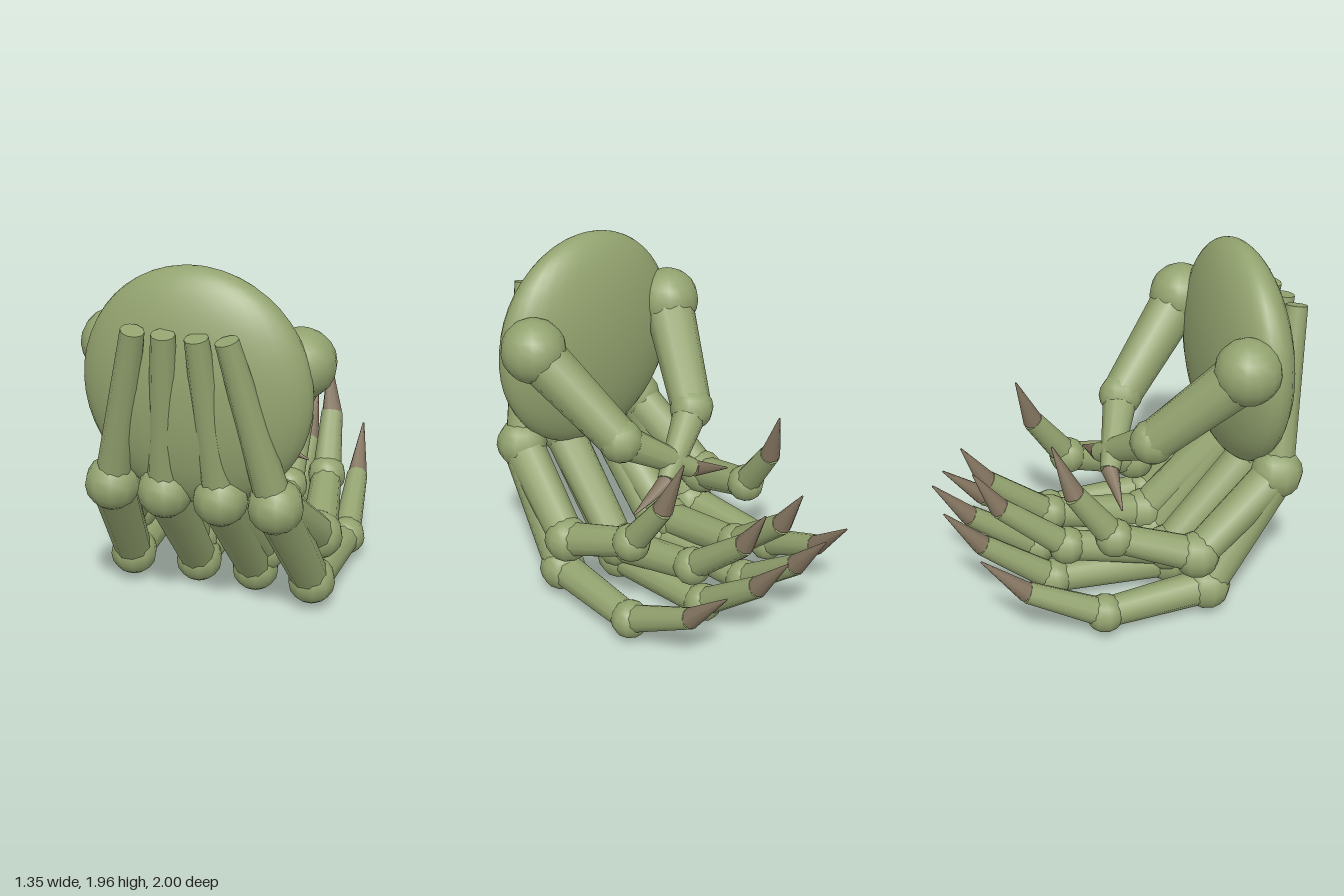
import * as THREE from 'three';

const skin = new THREE.MeshStandardMaterial({ color: 0x93a36f });
const horn = new THREE.MeshStandardMaterial({ color: 0x83745f });
const UP = new THREE.Vector3(0, 1, 0);

export function createModel() {
  const root = new THREE.Group();
  root.name = 'monsterHand';

  // Tapered limb running from point a to point b
  function limb(parent, name, a, b, ra, rb, material = skin, sides = 10) {
    const A = new THREE.Vector3(...a), B = new THREE.Vector3(...b);
    const dir = B.clone().sub(A);
    const m = new THREE.Mesh(new THREE.CylinderGeometry(rb, ra, dir.length(), sides), material);
    m.position.copy(A).add(B).multiplyScalar(0.5);
    m.quaternion.setFromUnitVectors(UP, dir.normalize());
    m.name = name;
    parent.add(m);
  }

  // Coarse ball joint with smooth normals
  function ball(parent, name, p, r, w = 10, h = 8) {
    const m = new THREE.Mesh(new THREE.SphereGeometry(r, w, h), skin);
    m.position.set(...p);
    m.name = name;
    parent.add(m);
  }

  // Flattened oval palm
  const palm = new THREE.Mesh(new THREE.SphereGeometry(1, 32, 24), skin);
  palm.scale.set(0.605, 0.627, 0.22);
  palm.position.set(0, 1.328, 0.71);
  palm.name = 'palm';
  root.add(palm);

  // Each finger: knuckle, two joints, claw base, claw tip
  const outerKnuckle = [0.44, 0.78, 0.79], innerKnuckle = [0.15, 0.78, 0.79];
  const fingers = [
    ['outerLowerFinger', outerKnuckle, [0.515, 0.165, 0.375], [0.545, 0.14, -0.23], [0.495, 0.34, -0.645], [0.465, 0.57, -0.88]],
    ['innerLowerFinger', innerKnuckle, [0.165, 0.13, 0.275], [0.165, 0.155, -0.41], [0.15, 0.45, -0.8], [0.145, 0.69, -1.0]],
    ['innerUpperFinger', innerKnuckle, [0.2, 0.24, 0.25], [0.17, 0.36, -0.33], [0.145, 0.66, -0.69], [0.14, 0.9, -0.83]],
    ['outerUpperFinger', outerKnuckle, [0.53, 0.4, 0.3], [0.445, 0.55, -0.14], [0.41, 0.84, -0.35], [0.36, 1.13, -0.455]],
  ];

  for (const side of [1, -1]) {
    const label = side > 0 ? 'left' : 'right';
    const flip = ([x, y, z]) => [x * side, y, z];

    // Knuckles and the tendons climbing the back of the hand
    for (const [name, knuckle, top] of [
      ['Outer', outerKnuckle, [0.24, 1.675, 0.94]],
      ['Inner', innerKnuckle, [0.085, 1.67, 0.935]],
    ]) {
      ball(root, label + name + 'Knuckle', flip(knuckle), 0.145);
      limb(root, label + name + 'Tendon', flip(knuckle), flip(top), 0.095, 0.06);
    }

    // Fingers, two from every knuckle
    for (const [name, ...points] of fingers) {
      const g = new THREE.Group();
      g.name = label + '_' + name;
      const [k, j1, j2, base, tip] = points.map(flip);
      limb(g, 'lowerBone', k, j1, 0.118, 0.1);
      ball(g, 'middleJoint', j1, 0.13);
      limb(g, 'middleBone', j1, j2, 0.1, 0.083);
      ball(g, 'endJoint', j2, 0.107);
      limb(g, 'endBone', j2, base, 0.08, 0.06);
      limb(g, 'claw', base, tip, 0.058, 0.005, horn, 8);
      root.add(g);
    }

    // Thumb, crossing its twin in front of the palm
    const thumb = new THREE.Group();
    thumb.name = label + 'Thumb';
    const [s, e, w, t] = [[0.495, 1.465, 0.565], [0.27, 1.0, 0.13], [-0.1, 0.755, -0.055], [-0.36, 0.655, -0.07]].map(flip);
    ball(thumb, 'thumbRoot', s, 0.18, 14, 10);
    limb(thumb, 'upperBone', s, e, 0.145, 0.115);
    ball(thumb, 'thumbJoint', e, 0.125);
    limb(thumb, 'lowerBone', e, w, 0.1, 0.055);
    limb(thumb, 'claw', w, t, 0.05, 0.005, horn, 8);
    root.add(thumb);
  }
  return root;
}
